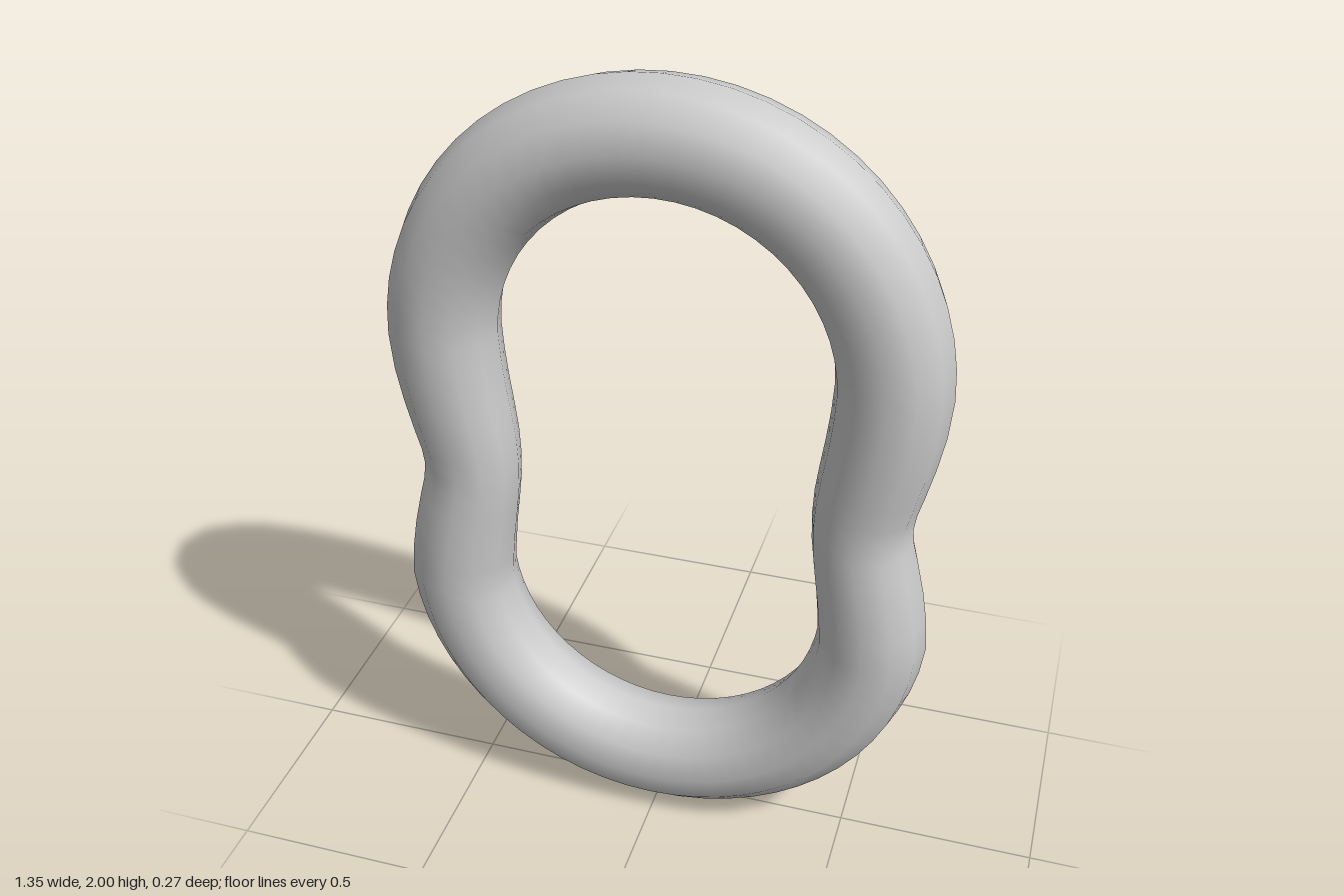
import * as THREE from 'three';

const ARC = 0.54, TUBE = 0.135, SIDES = 12, STEPS = 28;
const TOP_Y = 1.325, BOTTOM_Y = 0.675;

// Pinched side of the loop, from top to bottom: x, y, tube radius
const WAIST = [
  [0.534, 1.24, 0.134], [0.522, 1.16, 0.131], [0.507, 1.08, 0.127], [0.496, 1.02, 0.123],
  [0.492, 0.965, 0.121], [0.496, 0.91, 0.123], [0.507, 0.85, 0.127], [0.522, 0.77, 0.131], [0.533, 0.69, 0.134],
];

// Closed centre line, counterclockwise from the +x side of the top arc
function loopPath() {
  const path = [];
  const arc = (cy, from, to) => {
    for (let i = 0; i <= STEPS; i++) {
      const a = THREE.MathUtils.degToRad(from + (to - from) * i / STEPS);
      path.push([ARC * Math.cos(a), cy + ARC * Math.sin(a), TUBE]);
    }
  };
  arc(TOP_Y, 0, 180);
  WAIST.forEach(([x, y, r]) => path.push([-x, y, r]));
  arc(BOTTOM_Y, 185, 355);
  [...WAIST].reverse().forEach((p) => path.push(p));
  return path;
}

// Sweeps a 12-sided ring of varying radius around the closed path
function sweepLoop(path) {
  const n = path.length, positions = [], index = [];
  path.forEach(([x, y, r], i) => {
    const a = path[(i + n - 1) % n], b = path[(i + 1) % n];
    const out = new THREE.Vector2(b[1] - a[1], a[0] - b[0]).normalize();
    for (let j = 0; j < SIDES; j++) {
      const t = j / SIDES * Math.PI * 2, c = r * Math.cos(t);
      positions.push(x + out.x * c, y + out.y * c, r * Math.sin(t));
      const i2 = (i + 1) % n, j2 = (j + 1) % SIDES;
      const p = i * SIDES + j, q = i2 * SIDES + j, s = i2 * SIDES + j2, u = i * SIDES + j2;
      index.push(p, q, s, p, s, u);
    }
  });
  const geometry = new THREE.BufferGeometry();
  geometry.setAttribute('position', new THREE.Float32BufferAttribute(positions, 3));
  geometry.setIndex(index);
  geometry.computeVertexNormals();
  return geometry;
}

export function createModel() {
  const group = new THREE.Group();
  group.name = 'chainLink';
  const link = new THREE.Mesh(sweepLoop(loopPath()), new THREE.MeshStandardMaterial({ color: 0xcccccc }));
  link.name = 'pinchedLoop';
  group.add(link);
  return group;
}
